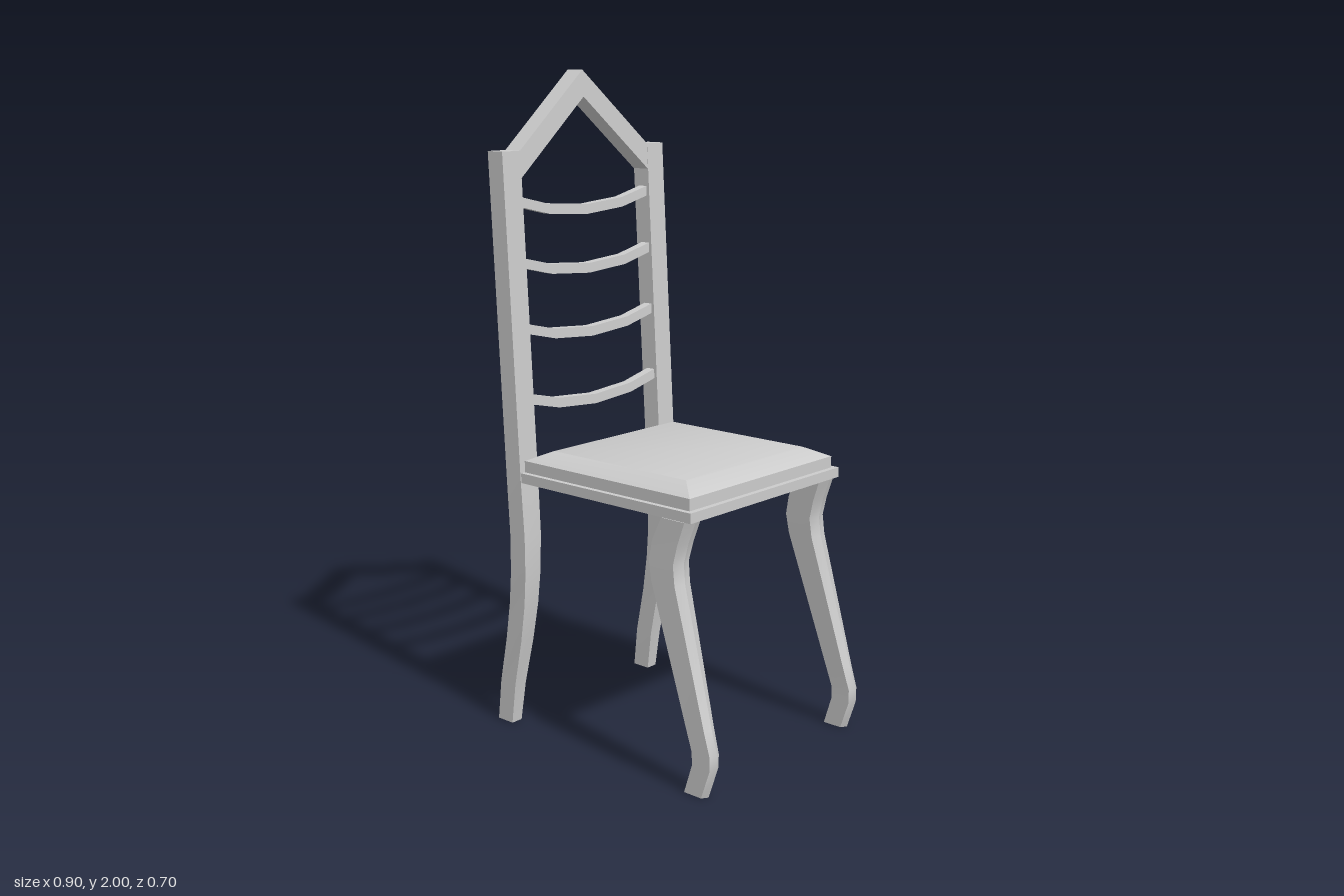
import * as THREE from 'three';
import { toCreasedNormals } from 'three/addons/utils/BufferGeometryUtils.js';

const material = new THREE.MeshStandardMaterial({ color: 0xcccccc });

function addMesh(parent, name, geometry) {
  const mesh = new THREE.Mesh(toCreasedNormals(geometry, 0.55), material);
  mesh.name = name;
  parent.add(mesh);
  return mesh;
}

// Skins a stack of rings ([x, y, z] points, counter-clockwise from above), with end caps.
function loft(rings) {
  const n = rings[0].length, last = (rings.length - 1) * n, index = [];
  for (let r = 0; r < last; r += n) {
    for (let i = 0; i < n; i++) {
      const j = (i + 1) % n;
      index.push(r + i, r + j, r + n + j, r + i, r + n + j, r + n + i);
    }
  }
  for (let i = 1; i < n - 1; i++) {
    index.push(0, i + 1, i, last, last + i, last + i + 1);
  }
  const geometry = new THREE.BufferGeometry();
  geometry.setAttribute('position', new THREE.Float32BufferAttribute(rings.flat(2), 3));
  geometry.setIndex(index);
  return geometry;
}

const rectangle = (y, x0, x1, z0, z1) => [[x0, y, z1], [x1, y, z1], [x1, y, z0], [x0, y, z0]];

// Mirrors a ring to the other side and restores its winding
const mirrorRing = ring => ring.map(([x, y, z]) => [x, y, -z]).reverse();

// Extrudes a (z, y) outline backwards from x = front, leaning with the back posts
function leaningPanel(points, front, depth) {
  const shape = new THREE.Shape(points.map(([z, y]) => new THREE.Vector2(z, y)));
  const geometry = new THREE.ExtrudeGeometry(shape, { depth, bevelEnabled: false });
  geometry.rotateY(-Math.PI / 2);
  const p = geometry.attributes.position;
  for (let i = 0; i < p.count; i++) {
    p.setX(i, p.getX(i) + front - 0.0526 * (p.getY(i) - 0.82));
  }
  return geometry;
}

export function createModel() {
  const chair = new THREE.Group();
  chair.name = 'chair';

  // Seat plate and softly domed cushion
  addMesh(chair, 'seatPlate', loft([
    rectangle(0.79, -0.32, 0.355, -0.344, 0.344),
    rectangle(0.82, -0.32, 0.355, -0.344, 0.344),
  ]));
  addMesh(chair, 'seatCushion', loft([
    rectangle(0.82, -0.315, 0.338, -0.328, 0.328),
    rectangle(0.855, -0.315, 0.338, -0.328, 0.328),
    rectangle(0.885, -0.25, 0.273, -0.268, 0.268),
  ]));

  // Back posts run from the floor to the crest: y, back x, front x, inner z, outer z
  const post = [
    [0, -0.45, -0.388, 0.295, 0.334],
    [0.13, -0.433, -0.369, 0.291, 0.336],
    [0.28, -0.4, -0.335, 0.287, 0.339],
    [0.4, -0.38, -0.315, 0.283, 0.341],
    [0.5, -0.37, -0.306, 0.28, 0.343],
    [0.62, -0.367, -0.304, 0.277, 0.345],
    [0.8, -0.375, -0.314, 0.275, 0.347],
    [1.77, -0.425, -0.364, 0.275, 0.347],
  ].map(s => rectangle(...s));

  // Cabriole front legs with a ridged front: y, back x, side x, ridge x, inner z, outer z
  const leg = [
    [0.79, 0.25, 0.335, 0.347, 0.275, 0.347],
    [0.72, 0.217, 0.31, 0.321, 0.278, 0.348],
    [0.66, 0.205, 0.295, 0.306, 0.281, 0.349],
    [0.6, 0.215, 0.302, 0.313, 0.284, 0.35],
    [0.2, 0.345, 0.413, 0.424, 0.308, 0.352],
    [0.13, 0.368, 0.434, 0.446, 0.312, 0.352],
    [0.09, 0.369, 0.434, 0.446, 0.313, 0.352],
    [0, 0.34, 0.403, 0.415, 0.315, 0.352],
  ].reverse().map(([y, back, side, ridge, z0, z1]) => [
    [back, y, z1], [side, y, z1], [ridge, y, (z0 + z1) / 2], [side, y, z0], [back, y, z0],
  ]);

  for (const [name, rings] of [['BackPost', post], ['FrontLeg', leg]]) {
    addMesh(chair, 'nearSide' + name, loft(rings));
    addMesh(chair, 'farSide' + name, loft(rings.map(mirrorRing)));
  }

  // Gabled crest between the posts
  addMesh(chair, 'crestRail', leaningPanel([
    [-0.275, 1.69], [0, 1.92], [0.275, 1.69], [0.275, 1.77], [0, 2], [-0.275, 1.77],
  ], -0.315, 0.062));

  // Four sagging slats
  const slats = new THREE.Group();
  slats.name = 'backSlats';
  chair.add(slats);
  const sag = [[-0.277, 0.04], [-0.16, 0.012], [0, 0], [0.16, 0.012], [0.277, 0.04]];
  for (const y of [0.977, 1.19, 1.386, 1.566]) {
    const lower = sag.map(([z, h]) => [z, y + h]);
    const upper = sag.map(([z, h]) => [z, y + h + 0.03]).reverse();
    addMesh(slats, 'slat', leaningPanel([...lower, ...upper], -0.325, 0.03));
  }

  return chair;
}
